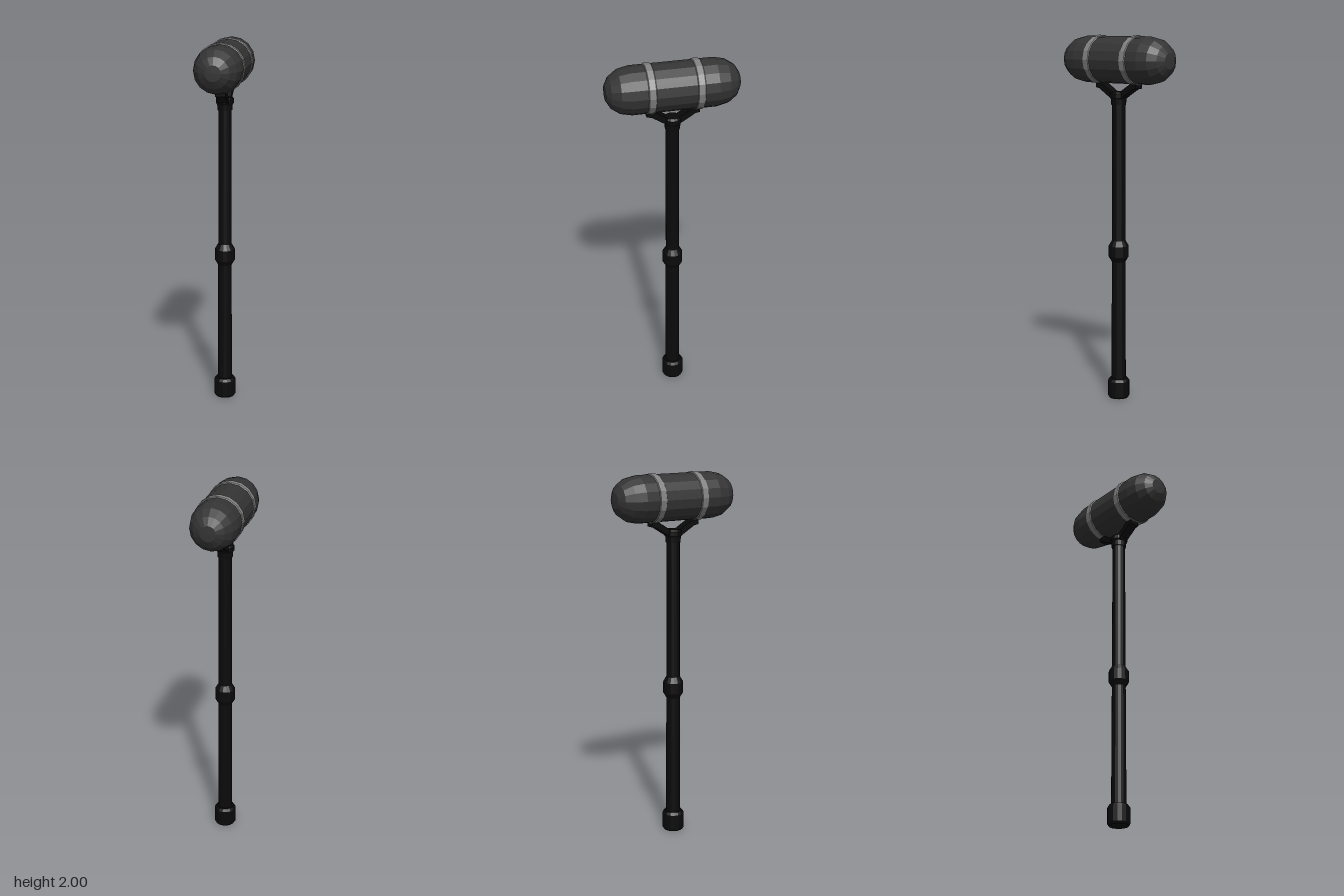
import * as THREE from 'three';

const mat = (name, color) => {
  const m = new THREE.MeshStandardMaterial({ color, flatShading: true });
  m.name = name;
  return m;
};

export function createModel() {
  const black = mat('black', 0x0a0a0a);
  const charcoal = mat('charcoal', 0x343434);
  const grey = mat('grey', 0x808080);
  const model = new THREE.Group();
  model.name = 'mallet';

  const add = (parent, name, geometry, material) => {
    const mesh = new THREE.Mesh(geometry, material);
    mesh.name = name;
    parent.add(mesh);
    return mesh;
  };
  // Turned part from [radius, height] pairs, bottom to top
  const turned = (profile, sides = 16) =>
    new THREE.LatheGeometry(profile.map(([r, y]) => new THREE.Vector2(r, y)), sides);

  // Handle: shaft with rings at the bottom, middle and top
  add(model, 'lowerShaft', turned([[0.040, 0.05], [0.0375, 0.82]]), black);
  add(model, 'upperShaft', turned([[0.037, 0.82], [0.036, 1.66]]), black);
  add(model, 'pommel', turned([[0, 0], [0.053, 0], [0.06, 0.012], [0.06, 0.095], [0.05, 0.11], [0, 0.11]]), black);
  add(model, 'middleCollar', turned([[0.037, 0.77], [0.055, 0.80], [0.055, 0.86], [0.037, 0.89]]), black);
  add(model, 'topCollar', turned([[0, 1.63], [0.04, 1.63], [0.042, 1.66], [0.049, 1.67], [0.049, 1.69], [0.038, 1.70], [0, 1.70]]), black);

  // Forked bracket that carries the head
  const half = [[0.035, 1.665], [0.115, 1.715], [0.14, 1.72], [0.14, 1.75], [0.11, 1.75], [0.03, 1.70]];
  const outline = [...half, ...half.map(([z, y]) => [-z, y]).reverse()];
  const bracket = new THREE.ExtrudeGeometry(
    new THREE.Shape(outline.map(([z, y]) => new THREE.Vector2(z, y))),
    { depth: 0.054, bevelEnabled: false });
  bracket.translate(0, 0, -0.027).rotateY(Math.PI / 2);
  add(model, 'bracket', bracket, black);

  // Head: faceted capsule lying front to back
  const head = new THREE.Group();
  head.name = 'head';
  head.position.y = 1.869;
  head.rotation.x = Math.PI / 2;
  model.add(head);
  const end = [[0, 0.35], [0.042, 0.348], [0.082, 0.325], [0.113, 0.28], [0.126, 0.22]];
  add(head, 'headBody', turned([...end.map(([r, y]) => [r, -y]), ...end.slice().reverse()]), charcoal);

  // Bands around the head
  for (const side of [-1, 1]) {
    const band = add(head, 'band', turned([[0.125, -0.021], [0.131, -0.017], [0.131, 0.017], [0.125, 0.021]]), grey);
    band.position.y = side * 0.126;
  }
  return model;
}
